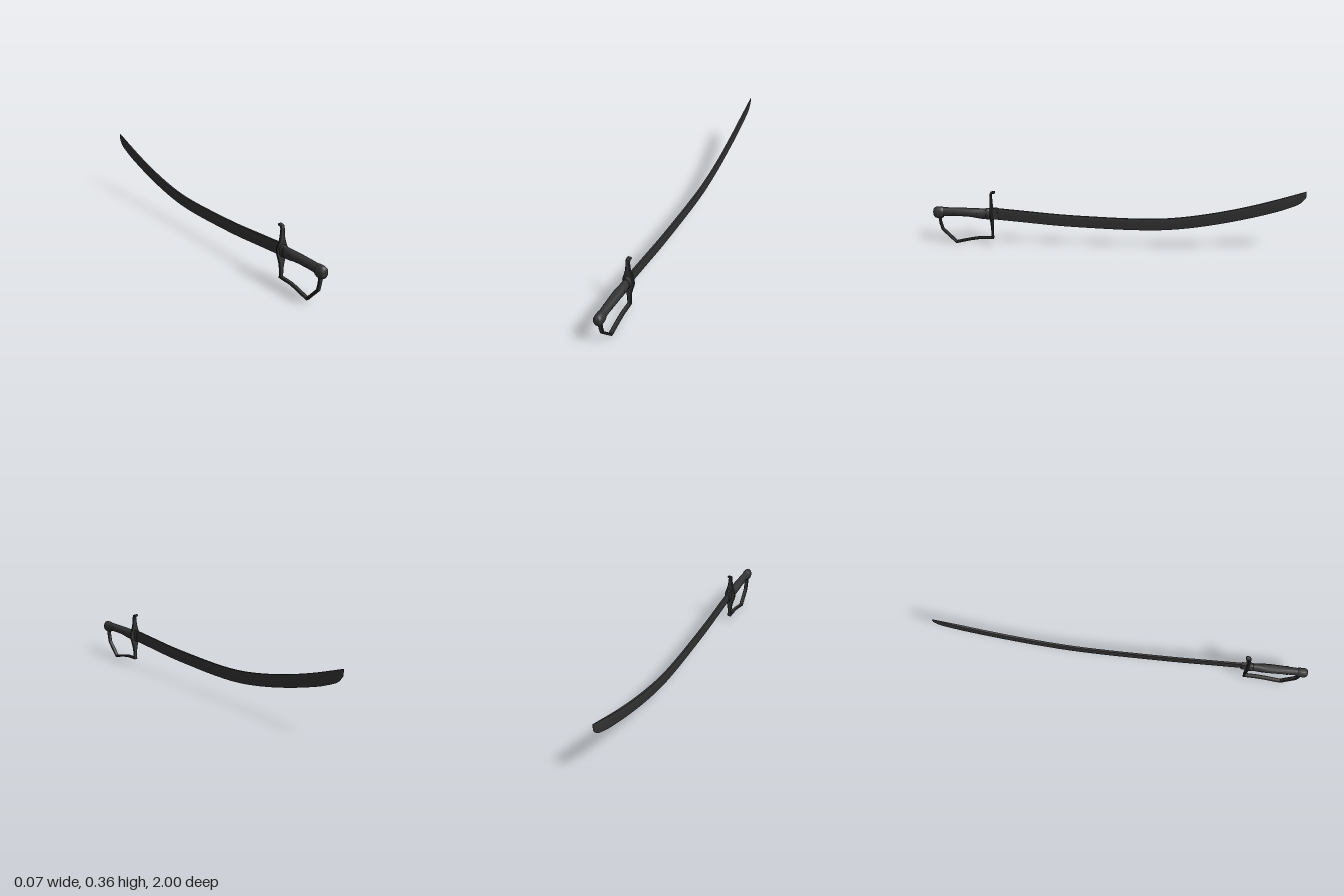
import * as THREE from 'three';
import { toCreasedNormals } from 'three/addons/utils/BufferGeometryUtils.js';

const material = new THREE.MeshStandardMaterial({ color: 0x333333 });

// Skins a list of closed rings (counter-clockwise seen from the start) and caps both ends.
function loft(rings, crease) {
  const n = rings[0].length;
  const index = [];
  for (let i = 0; i < rings.length - 1; i++) {
    for (let j = 0; j < n; j++) {
      const a = i * n + j, b = i * n + (j + 1) % n;
      index.push(a, a + n, b, b, a + n, b + n);
    }
  }
  const last = (rings.length - 1) * n;
  for (let j = 1; j < n - 1; j++) {
    index.push(0, j, j + 1);
    index.push(last, last + j + 1, last + j);
  }
  const geometry = new THREE.BufferGeometry();
  geometry.setAttribute('position', new THREE.Float32BufferAttribute(rings.flat(2), 3));
  geometry.setIndex(index);
  return toCreasedNormals(geometry, crease);
}

// Elliptical body along z; stations are [z, bottom, top, half width].
function ellipseBody(stations, segments = 32) {
  const rings = stations.map(([z, bottom, top, w]) => {
    const ring = [];
    for (let j = 0; j < segments; j++) {
      const a = (j / segments) * Math.PI * 2;
      ring.push([w * Math.cos(a), (bottom + top) / 2 + ((top - bottom) / 2) * Math.sin(a), z]);
    }
    return ring;
  });
  return loft(rings, 0.6);
}

// Flat bar with bevelled edges following [z, y, half width] points in the side plane.
function bar(points, thickness) {
  const path = points.map(([z, y]) => new THREE.Vector2(z, y));
  const h = thickness / 2;
  const rings = points.map(([z, y, w], i) => {
    const before = path[Math.max(i - 1, 0)], here = path[i], after = path[Math.min(i + 1, path.length - 1)];
    const t1 = (i > 0 ? here.clone().sub(before) : after.clone().sub(here)).normalize();
    const t2 = (i < path.length - 1 ? after.clone().sub(here) : t1.clone()).normalize();
    const t = t1.clone().add(t2).normalize();
    const miter = 1 / Math.max(t.dot(t1), 0.6);
    const e = Math.min(0.003, w * 0.3);
    const outline = [[w, -h / 2], [w, h / 2], [w - e, h], [e - w, h], [-w, h / 2], [-w, -h / 2], [e - w, -h], [w - e, -h]];
    return outline.map(([x, n]) => [x, y - t.x * n * miter, z + t.y * n * miter]);
  });
  return loft(rings, 0.5);
}

export function createModel() {
  const group = new THREE.Group();
  const add = (name, geometry) => {
    const mesh = new THREE.Mesh(geometry, material);
    mesh.name = name;
    group.add(mesh);
  };

  // Curved blade: spine height along z, sharp lower edge, clipped rounded tip
  const spine = new THREE.CatmullRomCurve3([
    [0.68, 0.215], [0.5, 0.202], [0.3, 0.188], [0.1, 0.181], [-0.1, 0.178], [-0.25, 0.183],
    [-0.4, 0.201], [-0.6, 0.241], [-0.8, 0.295], [-1, 0.362],
  ].map(([z, y]) => new THREE.Vector3(0, y, z)));
  const bladeRings = [];
  const steps = 70;
  for (let i = 0; i <= steps; i++) {
    const u = i / steps;
    const s = spine.getPointAt(u);
    const t = spine.getTangentAt(u);
    // The point's rounded front is made by slanting and shortening the last sections
    const k = Math.max(0, (u - 0.9) / 0.1);
    const depth = 0.066 - 0.03 * k ** 8;
    const w = 0.0065 * (1 - 0.85 * k);
    bladeRings.push([[0, -1], [0.55, -0.75], [0.85, -0.3], [1, -0.12], [0.8, 0], [-0.8, 0], [-1, -0.12], [-0.85, -0.3], [-0.55, -0.75]]
      .map(([x, d]) => [x * w, s.y - t.z * d * depth, s.z + t.y * d * depth * (1 - k)]));
  }
  // Extra closing section for the curved tip
  bladeRings.push(bladeRings[steps].map(([x, y, z]) => [x * 0.5, y + (0.362 - y) * 0.15, Math.max(z - 0.001, -1)]));
  add('blade', loft(bladeRings, 0.4));

  // Collar where the blade meets the guard
  const collar = new THREE.BoxGeometry(0.018, 0.064, 0.03);
  collar.translate(0, 0.182, 0.66);
  add('bladeCollar', collar);

  // Cross guard, curled forward at the top and swelling in the middle
  add('guard', bar([
    [0.655, 0.305, 0.011], [0.665, 0.305, 0.011], [0.674, 0.301, 0.011], [0.678, 0.29, 0.011],
    [0.678, 0.265, 0.0125], [0.678, 0.24, 0.016], [0.678, 0.215, 0.023], [0.678, 0.195, 0.03],
    [0.678, 0.178, 0.033], [0.678, 0.16, 0.03], [0.678, 0.14, 0.0235], [0.678, 0.11, 0.0155],
    [0.678, 0.08, 0.0115], [0.678, 0.037, 0.011],
  ], 0.011));

  // Angular knuckle bow from the guard to the pommel
  add('knuckleBow', bar([
    [0.673, 0.039, 0.011], [0.755, 0.036, 0.011], [0.8, 0.028, 0.011], [0.882, 0.008, 0.011],
    [0.955, 0.082, 0.011], [0.965, 0.12, 0.011], [0.968, 0.165, 0.011],
  ], 0.012));

  // Swelling grip
  add('grip', ellipseBody([
    [0.96, 0.157, 0.209, 0.02], [0.93, 0.16, 0.209, 0.02], [0.89, 0.162, 0.209, 0.0215],
    [0.84, 0.162, 0.209, 0.0235], [0.79, 0.16, 0.209, 0.0245], [0.76, 0.154, 0.209, 0.0235],
    [0.73, 0.149, 0.209, 0.02], [0.7, 0.152, 0.209, 0.017], [0.68, 0.152, 0.209, 0.017],
  ]));

  // Ferrule beside the guard
  add('ferrule', ellipseBody([
    [0.709, 0.152, 0.209, 0.017], [0.706, 0.147, 0.213, 0.02], [0.684, 0.147, 0.213, 0.021], [0.68, 0.149, 0.211, 0.02],
  ]));

  // Rounded pommel cap
  add('pommel', ellipseBody([
    [1, 0.166, 0.194, 0.011], [0.997, 0.157, 0.203, 0.018], [0.99, 0.15, 0.209, 0.0225],
    [0.978, 0.146, 0.212, 0.024], [0.96, 0.145, 0.212, 0.024], [0.948, 0.15, 0.211, 0.023], [0.942, 0.16, 0.208, 0.019],
  ]));

  // Rivets on both sides of the grip
  for (const z of [0.76, 0.89]) {
    const rivet = new THREE.CylinderGeometry(0.005, 0.005, 0.048, 12);
    rivet.rotateZ(Math.PI / 2);
    rivet.translate(0, 0.185, z);
    add('rivet', rivet);
  }
  return group;
}
